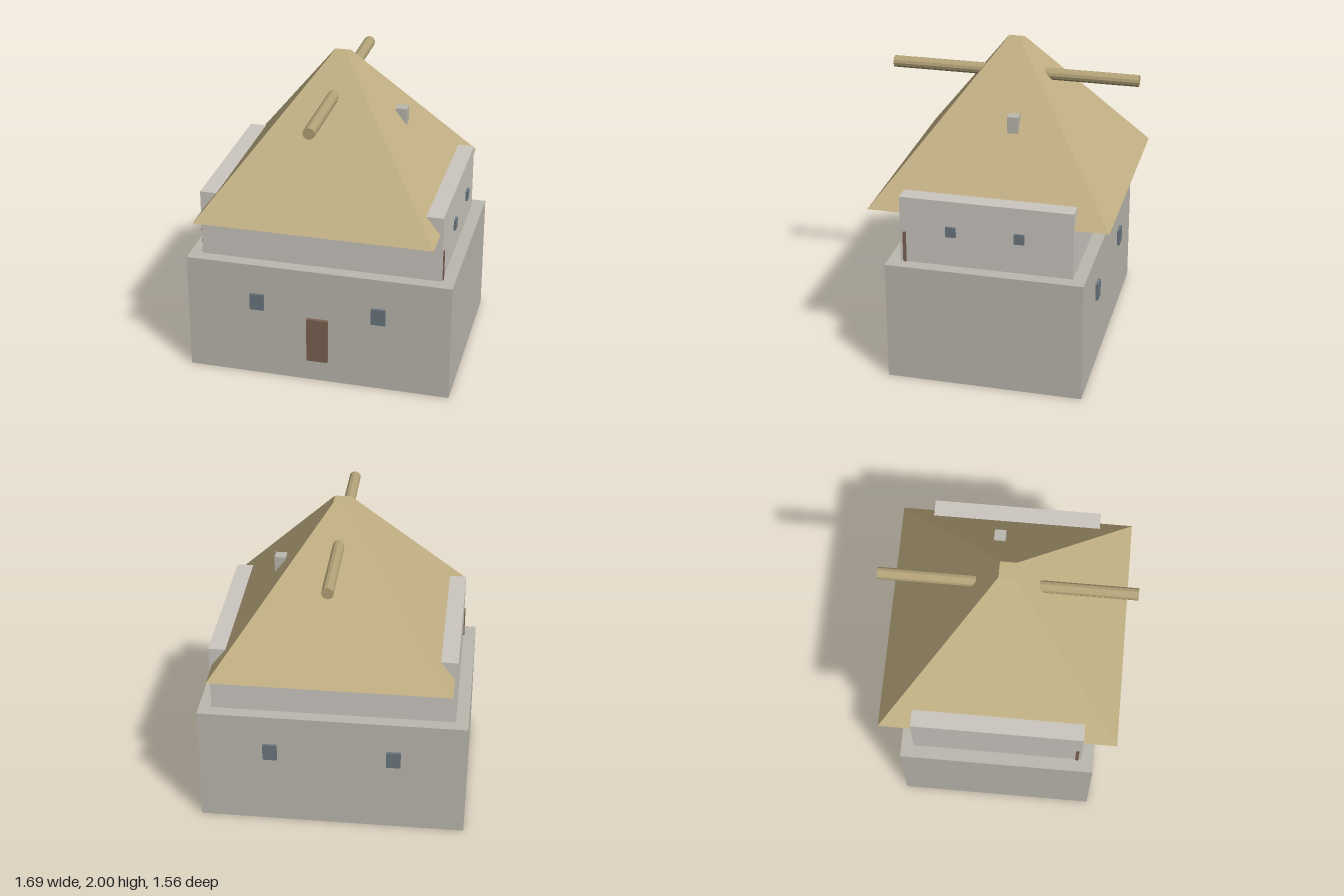
import * as THREE from 'three';

const material = (color) => new THREE.MeshStandardMaterial({ color, flatShading: true });

export function createModel() {
  const model = new THREE.Group();
  const lowerStone = material(0xbcb9b0);
  const upperStone = material(0xccc7c0);
  const thatch = material(0xc4b285);
  const timber = material(0xb3a378);
  const wood = material(0x7d6353);
  const glass = material(0x6b7880);

  const add = (name, geometry, mat, x, y, z) => {
    const mesh = new THREE.Mesh(geometry, mat);
    mesh.name = name;
    mesh.position.set(x, y, z);
    model.add(mesh);
    return mesh;
  };
  // Box given by its size and the centre of its base
  const box = (name, w, h, d, mat, x, y, z) =>
    add(name, new THREE.BoxGeometry(w, h, d), mat, x, y + h / 2, z);

  // Two storeys, the upper one stepped in
  box('lowerStorey', 1.69, 0.78, 1.234, lowerStone, 0, 0, 0);
  box('upperStorey', 1.53, 0.43, 1.074, upperStone, 0, 0.78, 0);

  // Four-sided roof with a small flat top
  const roof = new THREE.CylinderGeometry(0.05 * Math.SQRT2, 0.747 * Math.SQRT2, 0.905, 4);
  roof.rotateY(Math.PI / 4);
  add('roof', roof, thatch, 0, 1.095 + 0.905 / 2, 0);

  // Ridge beam running through the roof from front to back
  const beam = new THREE.CylinderGeometry(0.037, 0.037, 1.56, 12);
  beam.rotateX(Math.PI / 2);
  add('ridgeBeam', beam, timber, 0, 1.785, 0);

  // Chimney on the left slope
  box('chimney', 0.07, 0.11, 0.07, lowerStone, 0.373, 1.53, -0.08);

  // Front door, and a narrow door at the front end of each upper side
  box('frontDoor', 0.135, 0.3, 0.04, wood, 0, 0.15, 0.62);
  for (const side of [-1, 1]) {
    box('sideDoor', 0.012, 0.2, 0.02, wood, side * 0.766, 0.78, 0.51);
  }

  // Lower windows, a pair on the front and a pair on the back
  for (const face of [-1, 1]) {
    for (const side of [-1, 1]) {
      box('lowerWindow', 0.09, 0.11, 0.032, glass, side * 0.39, 0.47, face * 0.618);
    }
  }

  // Upper windows, standing just off the left wall
  for (const z of [-0.21, 0.213]) {
    box('upperWindow', 0.014, 0.065, 0.062, glass, 0.784, 0.985, z);
  }

  return model;
}
